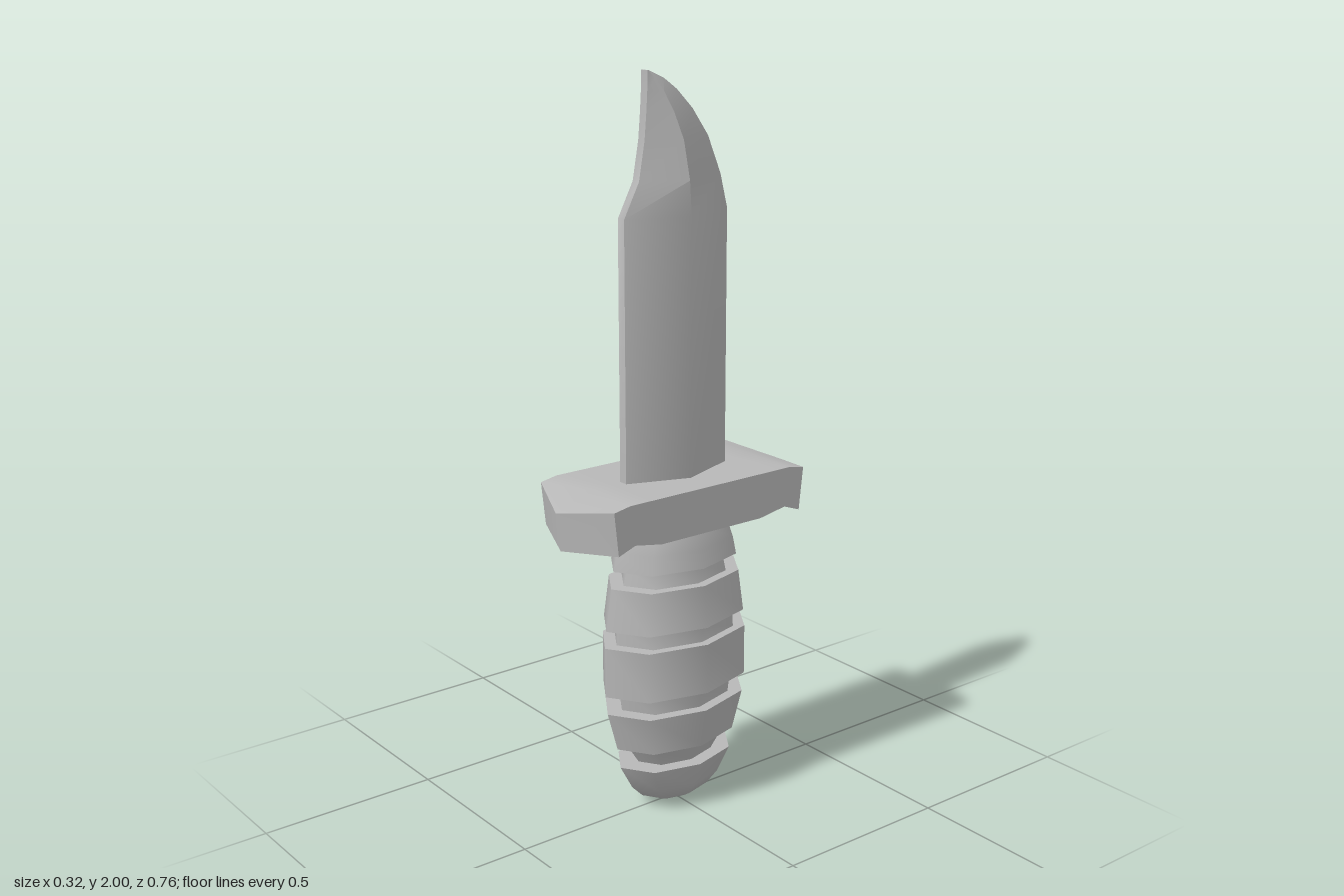
import * as THREE from 'three';
import { toCreasedNormals } from 'three/addons/utils/BufferGeometryUtils.js';

const CREASE = 0.8;

// Blade: hexagonal cross-sections stacked upward
function bladeGeometry() {
  // y, front edge z, back edge z, ridge half-width, ridge z
  const levels = [
    [0.90, 0.167, -0.165, 0.073, 0],
    [1.64, 0.167, -0.165, 0.073, 0],
    [1.73, 0.120, -0.142, 0.072, 0.005],
    [1.83, 0.102, -0.10, 0.06, 0.015],
    [1.90, 0.096, -0.05, 0.046, 0.035],
    [1.95, 0.093, 0.0, 0.031, 0.055],
    [1.98, 0.092, 0.042, 0.021, 0.075],
    [2.00, 0.092, 0.088, 0.013, 0.09],
  ];
  const w = 0.013;
  const pos = [];
  const index = [];
  for (const [y, f, b, r, rz] of levels) {
    const ring = [[w, f], [r, rz], [w, b], [-w, b], [-r, rz], [-w, f]];
    for (const [x, z] of ring) pos.push(x, y, z);
  }
  for (let l = 0; l < levels.length - 1; l++) {
    for (let i = 0; i < 6; i++) {
      const a = l * 6 + i;
      const b = l * 6 + (i + 1) % 6;
      index.push(a, b, b + 6, a, b + 6, a + 6);
    }
  }
  const top = (levels.length - 1) * 6;
  for (let i = 1; i < 5; i++) {
    index.push(top, top + i, top + i + 1); // tip cap
    index.push(0, i + 1, i); // base cap
  }
  const g = new THREE.BufferGeometry();
  g.setAttribute('position', new THREE.Float32BufferAttribute(pos, 3));
  g.setIndex(index);
  return toCreasedNormals(g, CREASE);
}

// Guard: drooping profile extruded across, its ends pulled to a point mid-width
function guardGeometry() {
  const half = [
    [0.2, 0.953], [0.265, 0.953], [0.315, 0.944],
    [0.302, 0.826], [0.25, 0.845], [0.165, 0.83],
  ];
  const outline = [...half, ...half.map(([z, y]) => [-z, y]).reverse()];
  const shape = new THREE.Shape(outline.map(([z, y]) => new THREE.Vector2(z, y)));
  const g = new THREE.ExtrudeGeometry(shape, { depth: 0.324, steps: 2, bevelEnabled: false });
  g.translate(0, 0, -0.162);
  g.rotateY(-Math.PI / 2);
  const p = g.attributes.position;
  for (let i = 0; i < p.count; i++) {
    const z = p.getZ(i);
    if (Math.abs(p.getX(i)) < 0.01 && Math.abs(z) > 0.29) {
      p.setZ(i, z + Math.sign(z) * 0.065);
      p.setY(i, p.getY(i) - (p.getY(i) > 0.9 ? 0.029 : 0.016));
    }
  }
  return toCreasedNormals(g, CREASE);
}

// Grip: eight-sided lathe with raised bands, stretched front to back
function gripGeometry() {
  const profile = [
    [0, 0.004], [0.045, 0.018], [0.07, 0.035], [0.092, 0.07], [0.117, 0.142], // pommel
    [0.078, 0.142], [0.102, 0.2],
    [0.123, 0.2], [0.143, 0.312], // lower band
    [0.113, 0.312], [0.117, 0.365],
    [0.147, 0.365], [0.147, 0.505], // middle band
    [0.123, 0.505], [0.121, 0.552],
    [0.144, 0.552], [0.133, 0.668], // upper band
    [0.107, 0.668], [0.1, 0.715],
    [0.128, 0.715], [0.121, 0.765], [0.106, 0.825], // collar
    [0.095, 0.85],
  ];
  const g = new THREE.LatheGeometry(profile.map(([r, y]) => new THREE.Vector2(r, y)), 8);
  g.scale(1, 1, 1.575);
  return toCreasedNormals(g, CREASE);
}

export function createModel() {
  const group = new THREE.Group();
  group.name = 'knife';
  const grey = new THREE.MeshStandardMaterial({ color: 0xb8b8b8 });
  grey.name = 'grey';
  const parts = { blade: bladeGeometry(), guard: guardGeometry(), grip: gripGeometry() };
  for (const [name, geometry] of Object.entries(parts)) {
    const mesh = new THREE.Mesh(geometry, grey);
    mesh.name = name;
    group.add(mesh);
  }
  return group;
}
